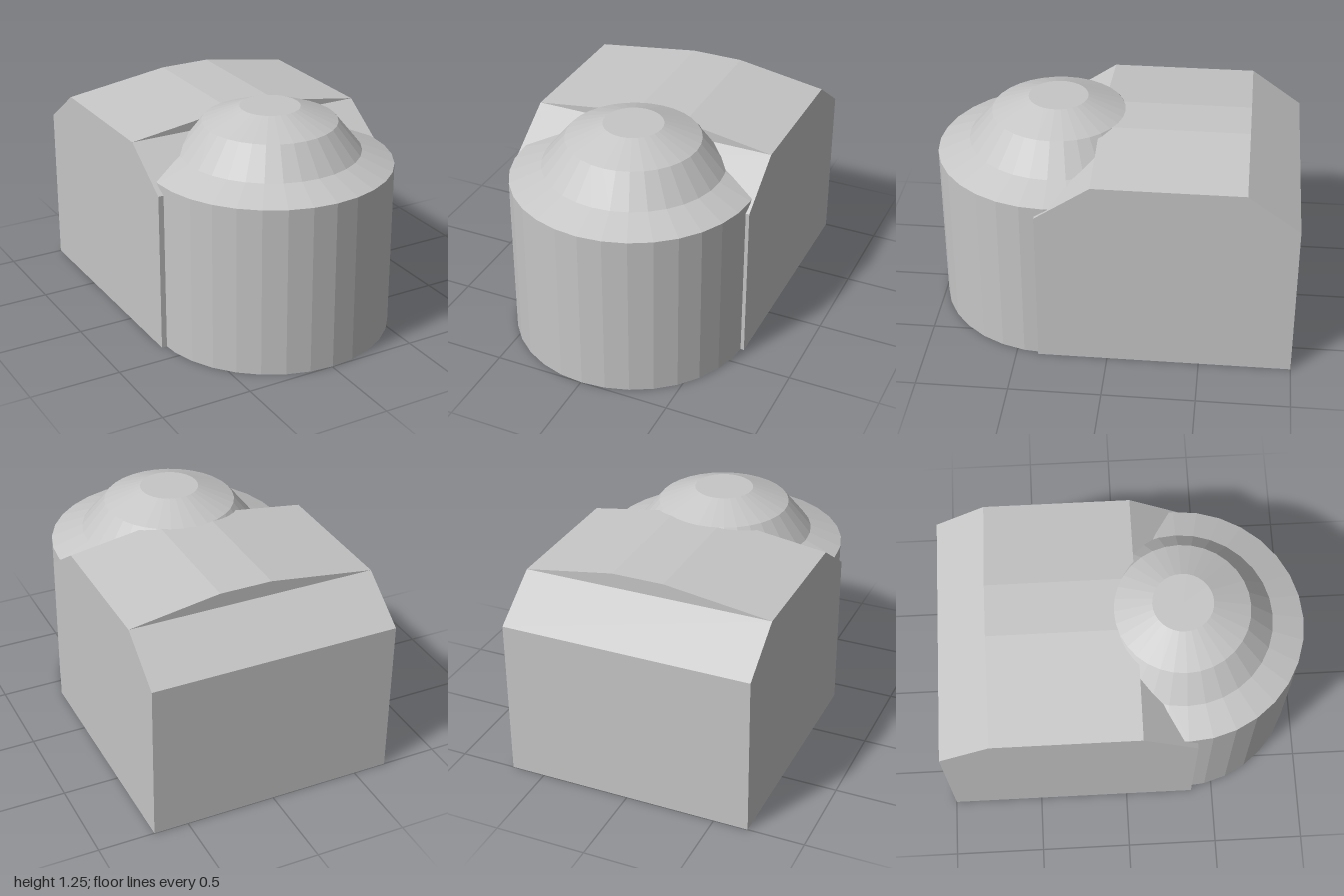
import * as THREE from 'three';

// Flat-sided prism: outline of [x, y] points extruded along +z.
function prism(points, depth) {
  const shape = new THREE.Shape(points.map(([x, y]) => new THREE.Vector2(x, y)));
  return new THREE.ExtrudeGeometry(shape, { depth, bevelEnabled: false });
}

export function createModel() {
  const model = new THREE.Group();
  model.name = 'domedBuilding';
  const grey = new THREE.MeshStandardMaterial({ color: 0xc6c6c6, flatShading: true });
  grey.name = 'plain grey';

  const add = (name, geometry) => {
    const mesh = new THREE.Mesh(geometry, grey);
    mesh.name = name;
    model.add(mesh);
    return mesh;
  };

  const halfWidth = 0.69;

  // Main hall: side outline (z, y) with sloped front and back shoulders, swept across x
  const hall = prism([
    [-1, 0], [0.38, 0], [0.38, 0.89], [0.085, 1.09], [-0.72, 1.09], [-1, 0.89],
  ], halfWidth * 2);
  hall.rotateY(-Math.PI / 2);
  hall.translate(halfWidth, 0, 0);
  add('hall', hall);

  // Shallow raised roof, its flat ridge slightly off centre
  const roof = prism([
    [-halfWidth, 1.09], [halfWidth, 1.09], [0.19, 1.17], [-0.1, 1.17],
  ], 0.805);
  roof.translate(0, 0, -0.72);
  add('roof', roof);

  // Round front tower with a stepped conical dome
  const profile = [
    [0, 0], [0.67, 0], [0.67, 0.94], [0.495, 1.01], [0.365, 1.17], [0.163, 1.25], [0, 1.25],
  ].map(([r, y]) => new THREE.Vector2(r, y));
  add('domedTower', new THREE.LatheGeometry(profile, 32)).position.set(0.005, 0, 0.33);

  return model;
}
